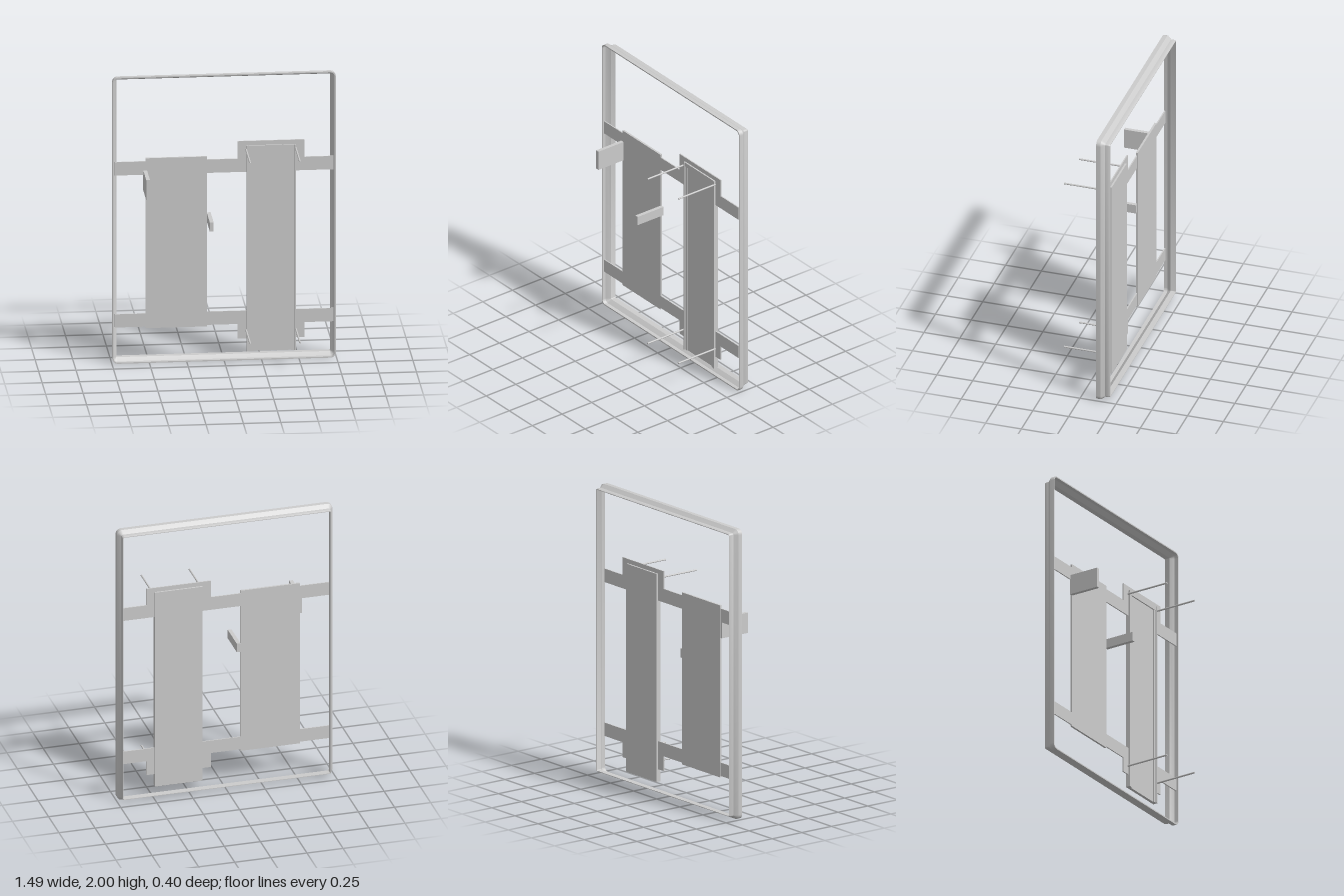
import * as THREE from 'three';
import { toCreasedNormals } from 'three/addons/utils/BufferGeometryUtils.js';

const material = new THREE.MeshStandardMaterial({ color: 0xcccccc });

// Box given by its limits on each axis
function box(parent, name, [x0, x1], [y0, y1], [z0, z1]) {
  const mesh = new THREE.Mesh(new THREE.BoxGeometry(x1 - x0, y1 - y0, z1 - z0), material);
  mesh.position.set((x0 + x1) / 2, (y0 + y1) / 2, (z0 + z1) / 2);
  mesh.name = name;
  parent.add(mesh);
}

// Rounded rectangle outline, shrunk by an inset
function outline(halfW, halfH, radius, inset, segments = 6) {
  const r = Math.max(radius - inset, 0.003);
  const points = [];
  [[1, 1], [-1, 1], [-1, -1], [1, -1]].forEach(([sx, sy], corner) => {
    for (let i = 0; i <= segments; i++) {
      const a = (corner + i / segments) * Math.PI / 2;
      points.push([
        sx * (halfW - inset - r) + r * Math.cos(a),
        sy * (halfH - inset - r) + r * Math.sin(a),
      ]);
    }
  });
  return points;
}

// Stepped hollow moulding swept around the rounded rectangle
function frameGeometry() {
  const profile = [ // inset, z
    [0, -0.11], [0, -0.14], [0.022, -0.167], [0.022, -0.19], [0.026, -0.2],
    [0.03, -0.2], [0.03, -0.163], [0.008, -0.136], [0.008, -0.11],
  ];
  const rings = profile.map(([inset, z]) =>
    outline(0.746, 1, 0.036, inset).map(([x, y]) => [x, y + 1, z]));
  const n = rings[0].length, m = rings.length;
  const index = [];
  for (let j = 0; j < m; j++) {
    for (let i = 0; i < n; i++) {
      const a = j * n + i, c = j * n + (i + 1) % n;
      const b = ((j + 1) % m) * n + i, d = ((j + 1) % m) * n + (i + 1) % n;
      index.push(a, b, c, c, b, d);
    }
  }
  const geometry = new THREE.BufferGeometry();
  geometry.setAttribute('position', new THREE.Float32BufferAttribute(rings.flat(2), 3));
  geometry.setIndex(index);
  return toCreasedNormals(geometry, 0.4);
}

export function createModel() {
  const model = new THREE.Group();

  const frame = new THREE.Mesh(frameGeometry(), material);
  frame.name = 'frame';
  model.add(frame);

  // Horizontal straps between the frame sides
  const sheet = [-0.122, -0.114];
  box(model, 'upperStrap', [-0.73, 0.73], [1.315, 1.408], sheet);
  box(model, 'lowerStrap', [-0.73, 0.73], [0.253, 0.345], sheet);

  // Flat panel with its two forward tabs
  box(model, 'flatPanel', [-0.525, -0.115], [0.243, 1.43], [-0.126, -0.112]);
  box(model, 'upperTab', [-0.54, -0.515], [1.205, 1.345], [-0.12, 0.098]);
  box(model, 'lowerTab', [-0.116, -0.09], [0.975, 1.038], [-0.12, 0.098]);

  // Mounting plates behind the channel
  box(model, 'upperMount', [0.09, 0.535], [1.408, 1.53], sheet);
  box(model, 'lowerMount', [0.09, 0.535], [0.15, 0.253], sheet);

  // Tray channel: back, stepped side rails and top rail, open at the bottom
  const channel = new THREE.Group();
  channel.name = 'channel';
  const cx = 0.315;
  box(channel, 'channelBack', [0.15, 0.48], [0.063, 1.5], [-0.134, -0.113]);
  for (const s of [-1, 1]) {
    const span = (a, b) => [cx + s * a, cx + s * b].sort((p, q) => p - q);
    box(channel, 'outerRail', span(0.152, 0.165), [0.063, 1.5], [-0.125, -0.1]);
    box(channel, 'innerRail', span(0.13, 0.152), [0.063, 1.472], [-0.125, -0.107]);
  }
  box(channel, 'topRail', [0.163, 0.467], [1.472, 1.5], [-0.125, -0.104]);
  model.add(channel);

  // Four long pins pointing forward
  const pinGeometry = new THREE.CylinderGeometry(0.006, 0.006, 0.315, 12).rotateX(Math.PI / 2);
  for (const x of [0.146, 0.478]) {
    for (const y of [0.21, 1.472]) {
      const pin = new THREE.Mesh(pinGeometry, material);
      pin.name = 'pin';
      pin.position.set(x, y, 0.0405);
      model.add(pin);
    }
  }
  return model;
}
